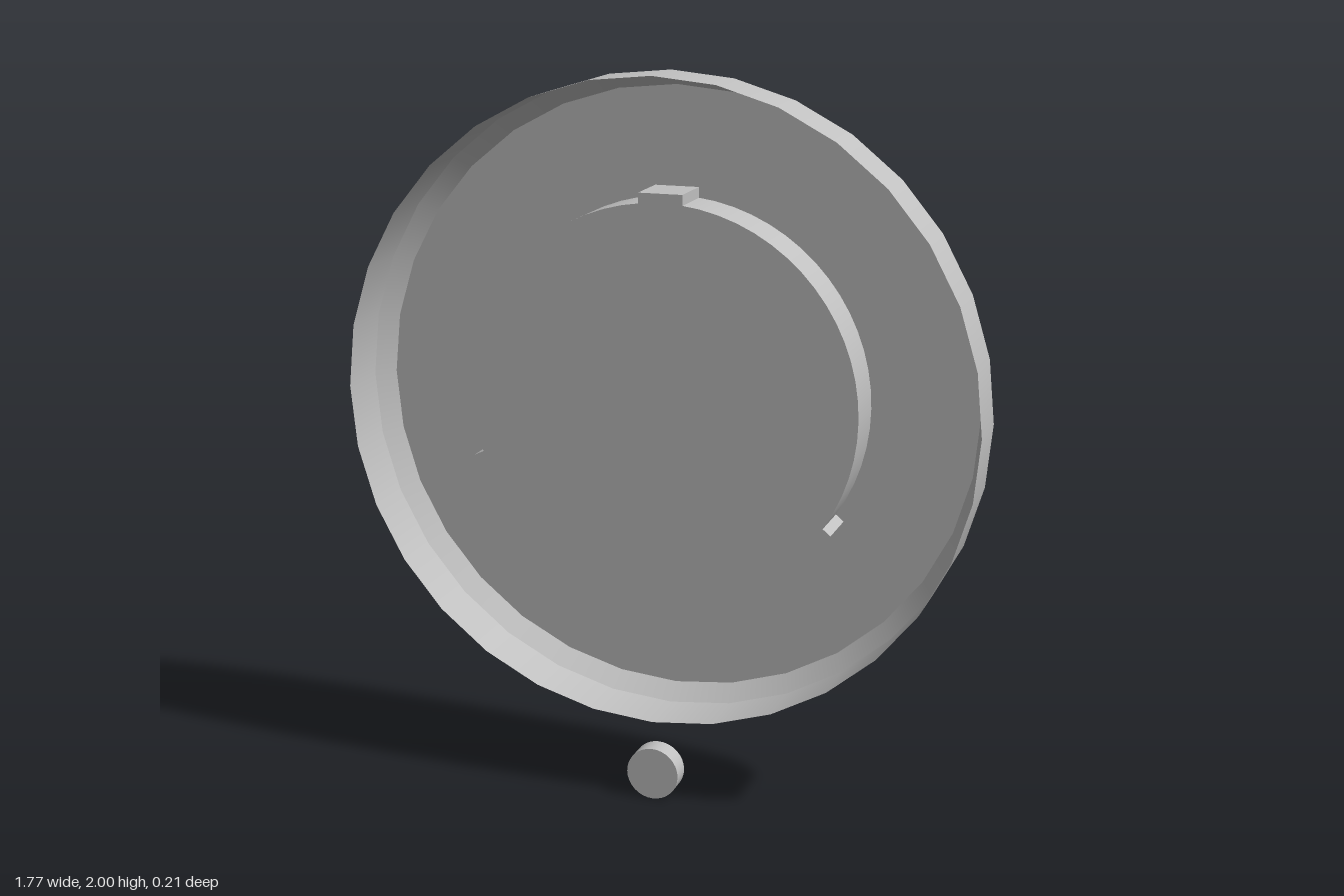
import * as THREE from 'three';

export function createModel() {
  const model = new THREE.Group();
  const grey = new THREE.MeshStandardMaterial({ color: 0xc0c0c0, side: THREE.DoubleSide });
  grey.name = 'plain grey';

  const CENTRE_Y = 1.114;
  const BACK = -0.105, BEVEL = -0.055, FRONT = 0.105, FLOOR = 0.035;
  const RIM_R = 0.886, FACE_R = 0.843, CUP_R = 0.547;

  const body = new THREE.Group();
  body.name = 'socketBody';
  body.position.y = CENTRE_Y;
  model.add(body);

  function add(parent, name, geometry) {
    const mesh = new THREE.Mesh(geometry, grey);
    mesh.name = name;
    parent.add(mesh);
    return mesh;
  }

  // Thin open band around the z axis
  function band(r0, z0, r1, z1, segments) {
    const profile = [new THREE.Vector2(r0, z0), new THREE.Vector2(r1, z1)];
    return new THREE.LatheGeometry(profile, segments).rotateX(Math.PI / 2);
  }

  function circlePoints(radius, segments) {
    return Array.from({ length: segments }, (_, i) => {
      const a = (i / segments) * Math.PI * 2;
      return new THREE.Vector2(radius * Math.cos(a), radius * Math.sin(a));
    });
  }

  // Outer shell, open at the front, with a bevelled back edge
  add(body, 'outerRim', band(RIM_R, BEVEL, RIM_R, FRONT, 32));
  add(body, 'bevel', band(FACE_R, BACK, RIM_R, BEVEL, 32));

  // Back plate with a round opening
  const plate = new THREE.Shape(circlePoints(FACE_R, 32));
  plate.holes.push(new THREE.Path(circlePoints(CUP_R, 64).reverse()));
  add(body, 'backPlate', new THREE.ShapeGeometry(plate).translate(0, 0, BACK));

  // Recessed cup
  add(body, 'cupWall', band(CUP_R, BACK, CUP_R, FLOOR, 64));
  add(body, 'cupFloor', new THREE.CircleGeometry(CUP_R, 64).translate(0, 0, FLOOR));

  // Keys straddling the cup wall
  const keyInner = 0.45, keyOuter = 0.572;
  for (const degrees of [90, 205, -40]) {
    const key = new THREE.BoxGeometry(keyOuter - keyInner, 0.123, FLOOR - BACK);
    key.translate((keyInner + keyOuter) / 2, 0, (FLOOR + BACK) / 2);
    add(body, 'key', key).rotation.z = THREE.MathUtils.degToRad(degrees);
  }

  // Ring of contact pins on the cup floor, pointing backwards
  const pinLength = 0.04;
  for (let i = 0; i < 6; i++) {
    const a = THREE.MathUtils.degToRad(77 + i * 60);
    const pin = new THREE.CylinderGeometry(0.038, 0.038, pinLength, 8).rotateX(Math.PI / 2);
    add(body, 'pin', pin).position.set(0.27 * Math.cos(a), 0.27 * Math.sin(a), FLOOR - pinLength / 2);
  }

  // Separate small button below the body
  const button = new THREE.CylinderGeometry(0.074, 0.074, 0.058, 32).rotateX(Math.PI / 2);
  add(model, 'button', button).position.set(0, 0.074, 0.076);

  return model;
}
